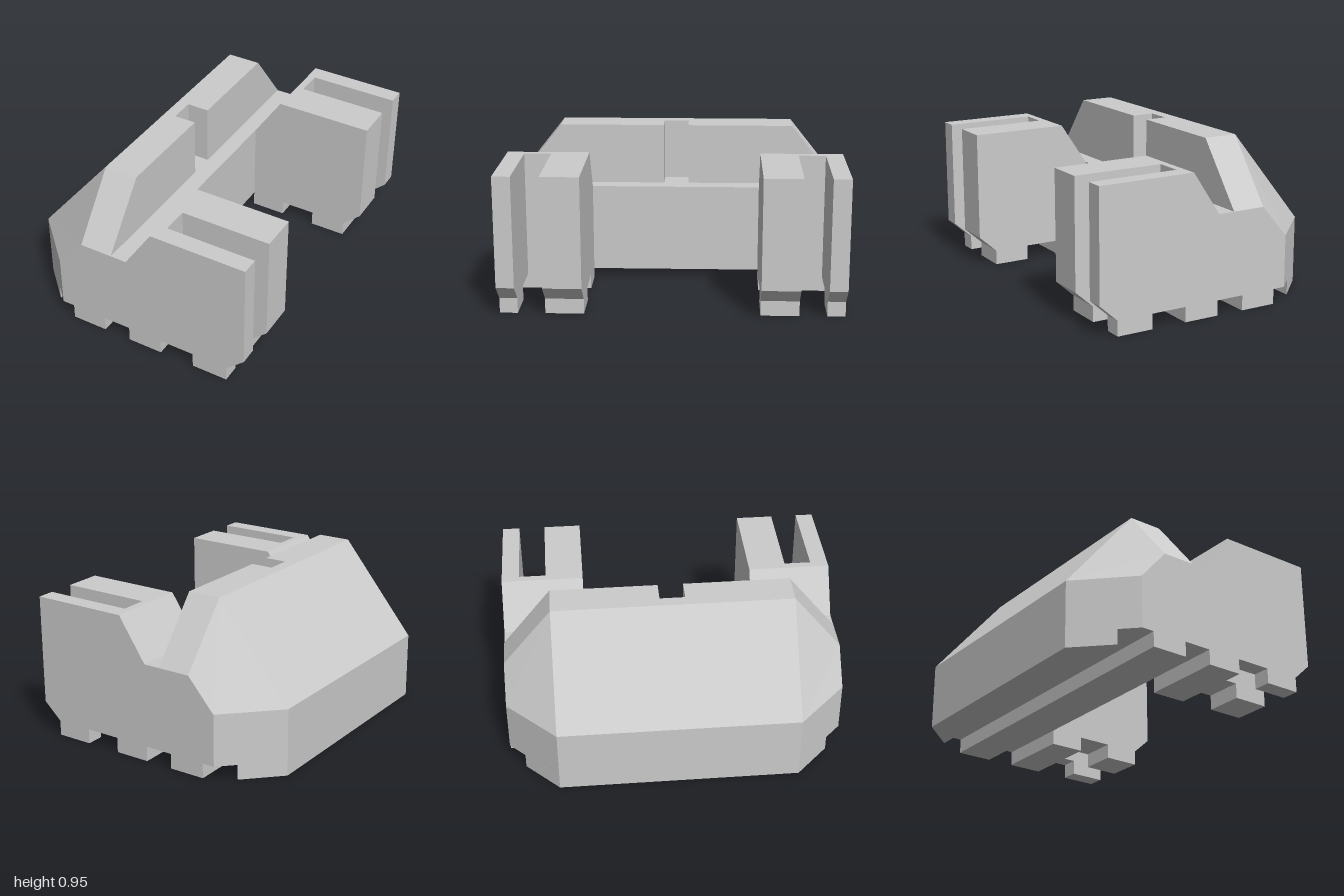
import * as THREE from 'three';

const material = new THREE.MeshStandardMaterial({ color: 0xcccccc, flatShading: true });

function add(group, name, geometry) {
  const mesh = new THREE.Mesh(geometry, material);
  mesh.name = name;
  group.add(mesh);
  return mesh;
}

// Flat prism from an x-y outline, spanning z0 to z1
function prism(points, z0, z1) {
  const shape = new THREE.Shape(points.map(([x, y]) => new THREE.Vector2(x, y)));
  return new THREE.ExtrudeGeometry(shape, { depth: z1 - z0, bevelEnabled: false }).translate(0, 0, z0);
}

// Closed skin through x-y sections (clockwise seen from +z), with convex end caps
function loft(sections) {
  const rings = sections.map(({ z, points }) => points.map(([x, y]) => new THREE.Vector3(x, y, z)));
  const positions = [];
  const tri = (a, b, c) => {
    if (new THREE.Triangle(a, b, c).getArea() < 1e-6) return;
    for (const p of [a, b, c]) positions.push(p.x, p.y, p.z);
  };
  const n = rings[0].length;
  for (let s = 0; s < rings.length - 1; s++) {
    for (let i = 0; i < n; i++) {
      const j = (i + 1) % n;
      const a = rings[s][i], b = rings[s][j], c = rings[s + 1][j], d = rings[s + 1][i];
      tri(a, d, c);
      tri(a, c, b);
    }
  }
  const first = rings[0], last = rings[rings.length - 1];
  for (let i = 1; i < n - 1; i++) {
    tri(first[0], first[i], first[i + 1]);
    tri(last[0], last[i + 1], last[i]);
  }
  const geometry = new THREE.BufferGeometry();
  geometry.setAttribute('position', new THREE.Float32BufferAttribute(positions, 3));
  geometry.computeVertexNormals();
  return geometry;
}

export function createModel() {
  const model = new THREE.Group();
  model.name = 'slottedBlock';

  // Sloped wall and ledge, chamfered at both ends, with a notch in the inner face
  const wall = (innerX) => [
    [-0.76, 0.09], [-0.76, 0.4], [-0.305, 0.955], [innerX, 0.955],
    [innerX, 0.59], [0, 0.59], [0, 0.09],
  ];
  const end = [
    [-0.465, 0.09], [-0.465, 0.4], [-0.3, 0.59], [-0.1, 0.59],
    [-0.1, 0.59], [0, 0.59], [0, 0.09],
  ];
  add(model, 'slopedWall', loft([
    { z: -1, points: end },
    { z: -0.71, points: wall(-0.1) },
    { z: -0.075, points: wall(-0.1) },
    { z: -0.075, points: wall(-0.235) },
    { z: 0.075, points: wall(-0.235) },
    { z: 0.075, points: wall(-0.1) },
    { z: 0.71, points: wall(-0.1) },
    { z: 1, points: end },
  ]));

  // Long rails underneath, the outer one following the chamfered corners
  const outerRail = new THREE.Shape([
    [-0.76, -0.71], [-0.56, -0.907], [-0.56, 0.907], [-0.76, 0.71],
  ].map(([x, y]) => new THREE.Vector2(x, y)));
  add(model, 'outerRail', new THREE.ExtrudeGeometry(outerRail, { depth: 0.09, bevelEnabled: false })
    .rotateX(-Math.PI / 2));
  add(model, 'innerRail', new THREE.BoxGeometry(0.22, 0.09, 2).translate(-0.28, 0.045, 0));

  // Two arms, each a pair of toothed plates joined by a short web
  const plate = [
    [0, 0], [0.215, 0], [0.215, 0.09], [0.43, 0.09], [0.43, 0], [0.65, 0], [0.65, 0.09],
    [0.76, 0.19], [0.76, 0.845], [0.17, 0.845], [0, 0.59],
  ];
  const web = [[0, 0], [0.215, 0], [0.215, 0.845], [0.17, 0.845], [0, 0.59]];
  for (const side of [1, -1]) {
    const arm = new THREE.Group();
    arm.name = side > 0 ? 'frontArm' : 'backArm';
    const part = (name, points, near, far) =>
      add(arm, name, side > 0 ? prism(points, near, far) : prism(points, -far, -near));
    part('innerPlate', plate, 0.51, 0.735);
    part('web', web, 0.735, 0.895);
    part('outerPlate', plate, 0.895, 1);
    model.add(arm);
  }
  return model;
}
